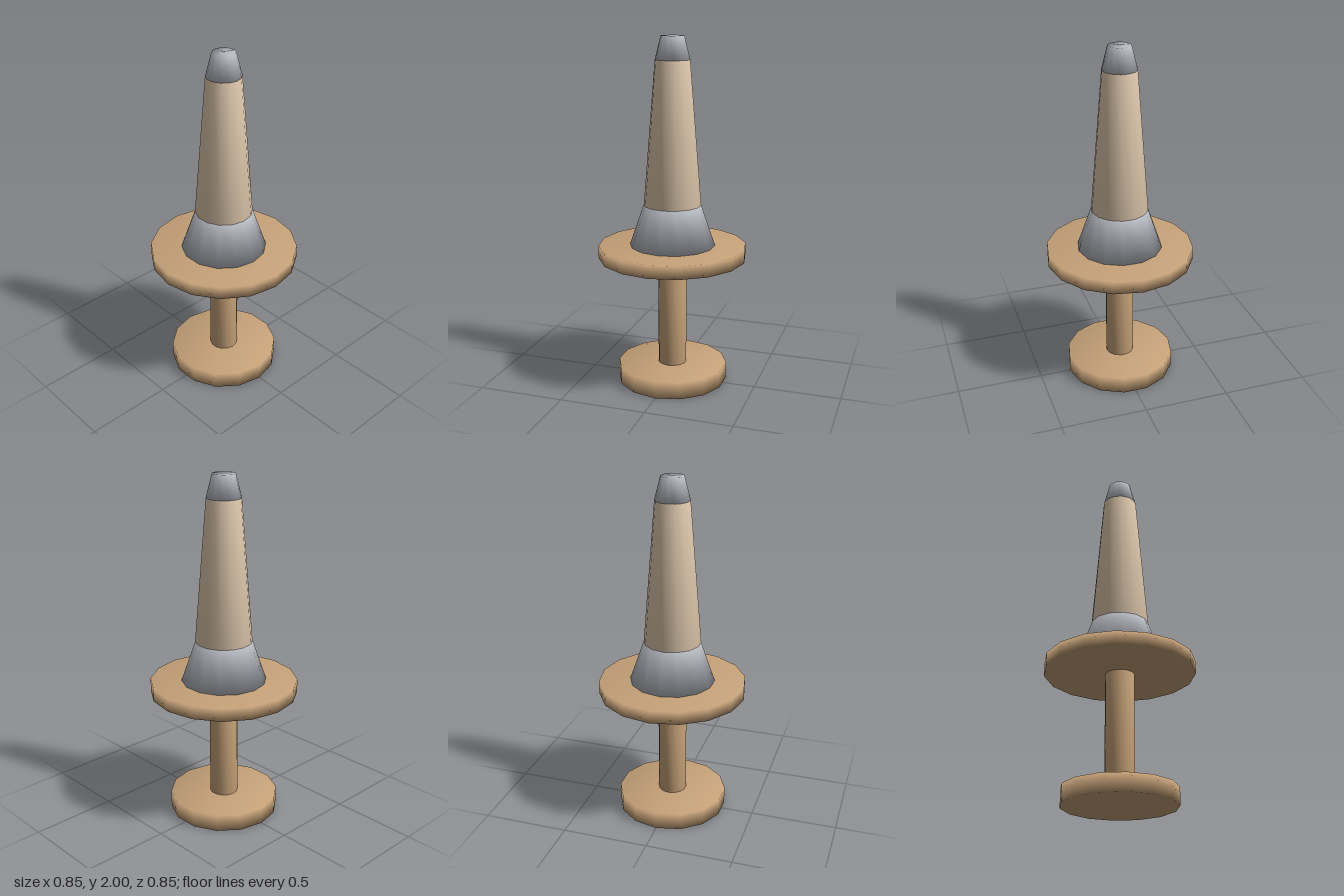
import * as THREE from 'three';

export function createModel() {
  const model = new THREE.Group();
  const material = (name, hex) => {
    const m = new THREE.MeshStandardMaterial({ color: hex });
    m.name = name;
    return m;
  };
  const wood = material('wood', 0xc6a279);
  const paleWood = material('paleWood', 0xdec8ad);
  const metal = material('metal', 0xb6b8c0);

  // closed, smoothly shaded round part from y0 (radius r0) to y1 (radius r1)
  const turned = (name, mat, y0, r0, y1, r1, sides = 14) => {
    const profile = [[0, y0], [r0, y0], [r1, y1], [0, y1]].map(p => new THREE.Vector2(...p));
    const mesh = new THREE.Mesh(new THREE.LatheGeometry(profile, sides), mat);
    mesh.name = name;
    model.add(mesh);
  };

  // stand
  turned('foot', wood, 0, 0.318, 0.1, 0.318);
  turned('post', wood, 0.1, 0.082, 0.745, 0.082);
  turned('plate', wood, 0.745, 0.425, 0.82, 0.425, 16);

  // tapered upper shaft with metal collar and tip
  turned('collar', metal, 0.82, 0.245, 1.055, 0.164);
  turned('shaft', paleWood, 1.055, 0.164, 1.87, 0.098);
  turned('tip', metal, 1.87, 0.098, 2, 0.065);

  return model;
}
